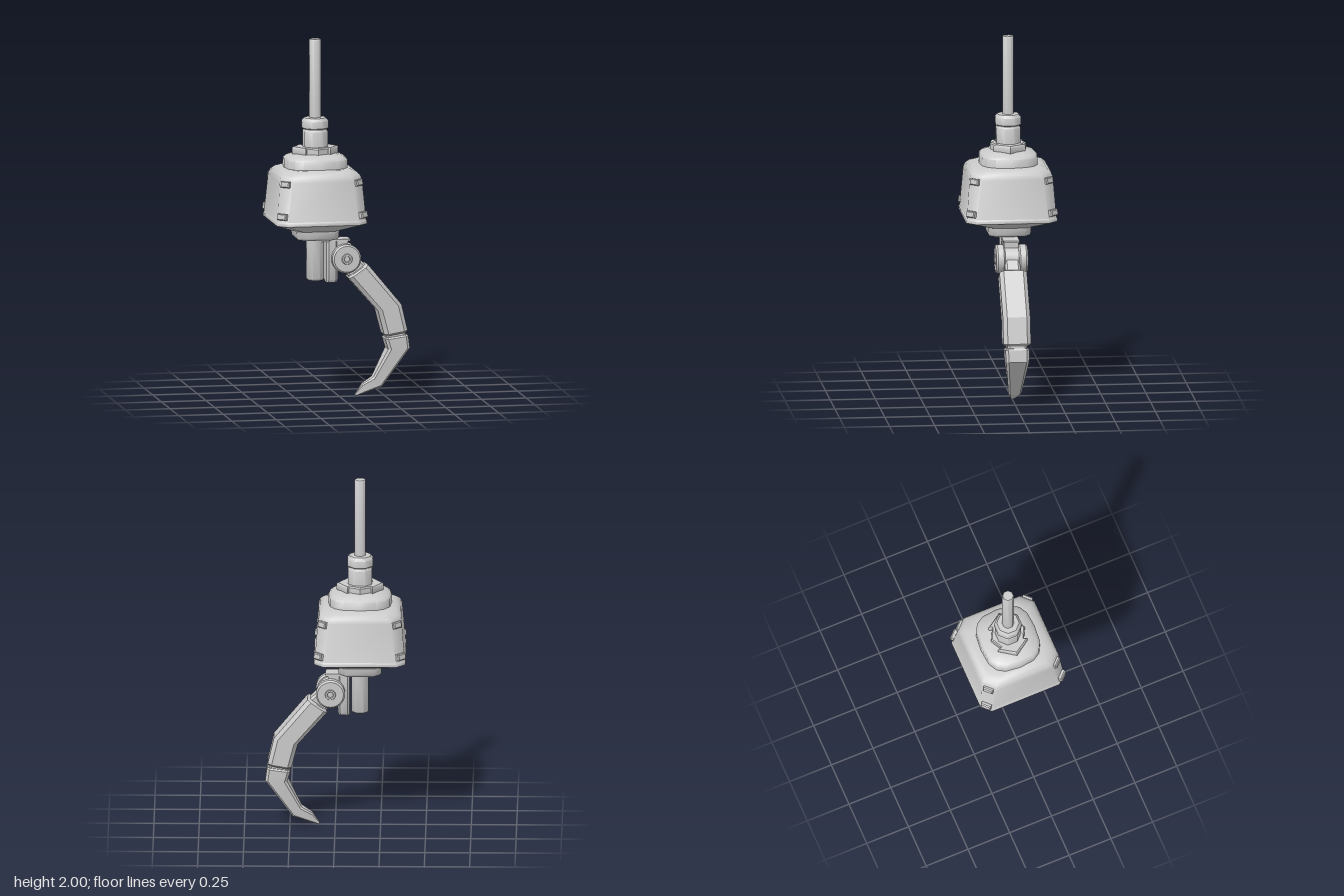
import * as THREE from 'three';
import { toCreasedNormals } from 'three/addons/utils/BufferGeometryUtils.js';

const material = new THREE.MeshStandardMaterial({ color: 0xcccccc });
const AXIS = -0.137; // x of the vertical main axis
const HINGE = [0.026, 0.778];

function add(parent, name, geometry, crease = 0.6) {
  const mesh = new THREE.Mesh(toCreasedNormals(geometry, crease), material);
  mesh.name = name;
  parent.add(mesh);
  return mesh;
}

// Skin a list of equal-length rings (counterclockwise about the travel direction), capped at both ends
function loft(rings) {
  const n = rings[0].length;
  const index = [];
  for (let i = 0; i < rings.length - 1; i++) {
    for (let j = 0; j < n; j++) {
      const a = i * n + j, b = i * n + (j + 1) % n;
      index.push(a, b, b + n, a, b + n, a + n);
    }
  }
  const last = (rings.length - 1) * n;
  for (let j = 1; j < n - 1; j++) {
    index.push(0, j + 1, j, last, last + j, last + j + 1);
  }
  const g = new THREE.BufferGeometry();
  g.setAttribute('position', new THREE.Float32BufferAttribute(rings.flat(2), 3));
  g.setIndex(index);
  return g;
}

// Horizontal square ring with cut corners: half width h, half length f of each flat
function squareRing([y, h, f]) {
  return [[h, f], [h, -f], [f, -h], [-f, -h], [-h, -f], [-h, f], [-f, h], [f, h]]
    .map(([x, z]) => [x, y, z]);
}

// Horizontal rounded-square ring
function softRing([y, rx, rz]) {
  const p = (v) => Math.sign(v) * Math.pow(Math.abs(v), 0.68);
  return Array.from({ length: 16 }, (_, k) => {
    const a = k * Math.PI / 8;
    return [rx * p(Math.cos(a)), y, -rz * p(Math.sin(a))];
  });
}

// Bevelled cross-section of a finger link between an outer and an inner point
function linkRing([ox, oy, ix, iy, w, b]) {
  const len = Math.hypot(ox - ix, oy - iy);
  const ux = (ox - ix) / len * b, uy = (oy - iy) / len * b;
  const half = [[ox, oy, w - b], [ox - ux, oy - uy, w], [ix + ux, iy + uy, w], [ix, iy, w - b]];
  return [...half, ...half.map(([x, y, z]) => [x, y, -z]).reverse()];
}

function lathe(points, sides) {
  return new THREE.LatheGeometry(points.map(([r, y]) => new THREE.Vector2(r, y)), sides);
}

function buildHousing() {
  const g = new THREE.Group();
  g.name = 'housing';
  g.position.x = AXIS;

  add(g, 'housingShell', loft([
    [0.89, 0.108, 0.075], [0.9, 0.117, 0.08], [0.94, 0.12, 0.085], [0.985, 0.238, 0.19],
    [0.992, 0.253, 0.203], [1.008, 0.253, 0.203], [1.015, 0.248, 0.2],
    [1.235, 0.231, 0.17], [1.26, 0.222, 0.16], [1.28, 0.2, 0.14], [1.29, 0.17, 0.12],
  ].map(squareRing)), 0.85);

  add(g, 'upperCollar', loft([
    [1.27, 0.175, 0.162], [1.335, 0.174, 0.161], [1.35, 0.158, 0.146], [1.365, 0.11, 0.1],
  ].map(softRing)), 0.85);

  // Clips on the four cut corners, in two rows
  for (const [y, r] of [[1.222, 0.283], [1.045, 0.316]]) {
    for (let k = 0; k < 4; k++) {
      const pivot = new THREE.Group();
      pivot.name = 'cornerClip';
      pivot.rotation.y = Math.PI / 4 + k * Math.PI / 2;
      const clip = add(pivot, 'clip', loft([
        [-0.012, 0.029, 0.018], [0.012, 0.029, 0.018], [0.018, 0.024, 0.013],
      ].map(([d, w, h]) => [[w, h, d], [-w, h, d], [-w, -h, d], [w, -h, d]].map(([a, b, c]) => [-a, b, c]).reverse()
        .reverse().map(([a, b, c]) => [-a, -b, c]).map(([a, b, c]) => [a, -b, c]))));
      clip.position.set(0, y, r);
      clip.rotation.x = -0.16;
      g.add(pivot);
    }
  }

  // Winged nut outline, one half mirrored
  const halfNut = [[-0.122, 0], [-0.07, 0.08], [-0.063, 0.062], [0, 0.094], [0.063, 0.062], [0.07, 0.08], [0.122, 0]];
  const nutOutline = [...halfNut, ...halfNut.slice(1, -1).reverse().map(([x, y]) => [x, -y])];
  const nut = add(g, 'wingNut', new THREE.ExtrudeGeometry(
    new THREE.Shape(nutOutline.map(([x, y]) => new THREE.Vector2(x, y))),
    { depth: 0.032, bevelSize: 0.006, bevelThickness: 0.007, bevelSegments: 1 }));
  nut.rotation.x = -Math.PI / 2;
  nut.position.y = 1.363;

  add(g, 'cableGland', lathe([
    [0, 1.38], [0.072, 1.38], [0.072, 1.487], [0.066, 1.494], [0.066, 1.5], [0.076, 1.506],
    [0.076, 1.545], [0.062, 1.562], [0.03, 1.564], [0, 1.564],
  ], 8), 0.8).rotation.y = Math.PI / 8;
  add(g, 'cable', lathe([[0, 1.54], [0.033, 1.54], [0.033, 1.995], [0.029, 2], [0, 2]], 8), 0.9)
    .rotation.y = Math.PI / 8;
  add(g, 'lowerPost', lathe([[0, 0.655], [0.042, 0.655], [0.051, 0.665], [0.051, 0.9], [0, 0.9]], 8), 0.9)
    .rotation.y = Math.PI / 8;
  return g;
}

function buildHinge() {
  const g = new THREE.Group();
  g.name = 'hinge';

  // Angle bracket: top plate and rounded hanging plate
  const plate = add(g, 'bracketTop', new THREE.BoxGeometry(0.19, 0.012, 0.09));
  plate.position.set(-0.042, 0.878, 0);
  add(g, 'bracketPlate', loft([
    [-0.02, 0.643, -0.08, 0.643, 0.035, 0.012], [-0.015, 0.662, -0.08, 0.662, 0.046, 0.012],
    [-0.015, 0.875, -0.08, 0.875, 0.046, 0.012],
  ].map((s) => linkRing(s).reverse())));
  const lug = add(g, 'bracketLug', new THREE.BoxGeometry(0.08, 0.11, 0.08));
  lug.position.set(0, 0.82, 0);

  // Side discs with a raised, hollow bolt
  for (const side of [1, -1]) {
    const disc = add(g, side > 0 ? 'frontDisc' : 'backDisc', lathe([
      [0, 0.038], [0.072, 0.038], [0.081, 0.046], [0.081, 0.078], [0.072, 0.088], [0.03, 0.088],
      [0.027, 0.094], [0.018, 0.094], [0.015, 0.086], [0, 0.086],
    ], 24));
    disc.rotation.x = side * Math.PI / 2;
    disc.position.set(HINGE[0], HINGE[1], 0);
  }
  const core = add(g, 'knuckle', new THREE.CylinderGeometry(0.066, 0.066, 0.084, 20));
  core.rotation.x = Math.PI / 2;
  core.position.set(HINGE[0], HINGE[1], 0);
  return g;
}

function buildFinger() {
  const g = new THREE.Group();
  g.name = 'finger';
  const part = (name, stations) => add(g, name, loft(stations.map(linkRing)), 0.35);

  part('knuckleArm', [
    [0.06, 0.815, -0.01, 0.745, 0.042, 0.012],
    [0.15, 0.725, 0.062, 0.655, 0.042, 0.012],
  ]);
  part('upperLink', [
    [0.136, 0.737, 0.05, 0.678, 0.064, 0.018],
    [0.152, 0.738, 0.045, 0.664, 0.076, 0.022],
    [0.338, 0.513, 0.206, 0.48, 0.076, 0.022],
    [0.372, 0.368, 0.241, 0.346, 0.076, 0.022],
    [0.366, 0.357, 0.25, 0.337, 0.066, 0.018],
  ]);
  part('linkJoint', [
    [0.36, 0.37, 0.255, 0.355, 0.054, 0.012],
    [0.366, 0.325, 0.258, 0.31, 0.054, 0.012],
  ]);
  part('clawTip', [
    [0.37, 0.343, 0.252, 0.327, 0.06, 0.013],
    [0.377, 0.335, 0.248, 0.318, 0.066, 0.015],
    [0.386, 0.268, 0.265, 0.262, 0.064, 0.015],
    [0.233, 0.053, 0.185, 0.106, 0.036, 0.01],
    [0.14, 0.019, 0.126, 0.068, 0.022, 0.007],
    [0.09, 0, 0.086, 0.012, 0.004, 0.002],
  ]);
  return g;
}

export function createModel() {
  const model = new THREE.Group();
  model.name = 'gripperArm';
  model.add(buildHousing(), buildHinge(), buildFinger());
  return model;
}
